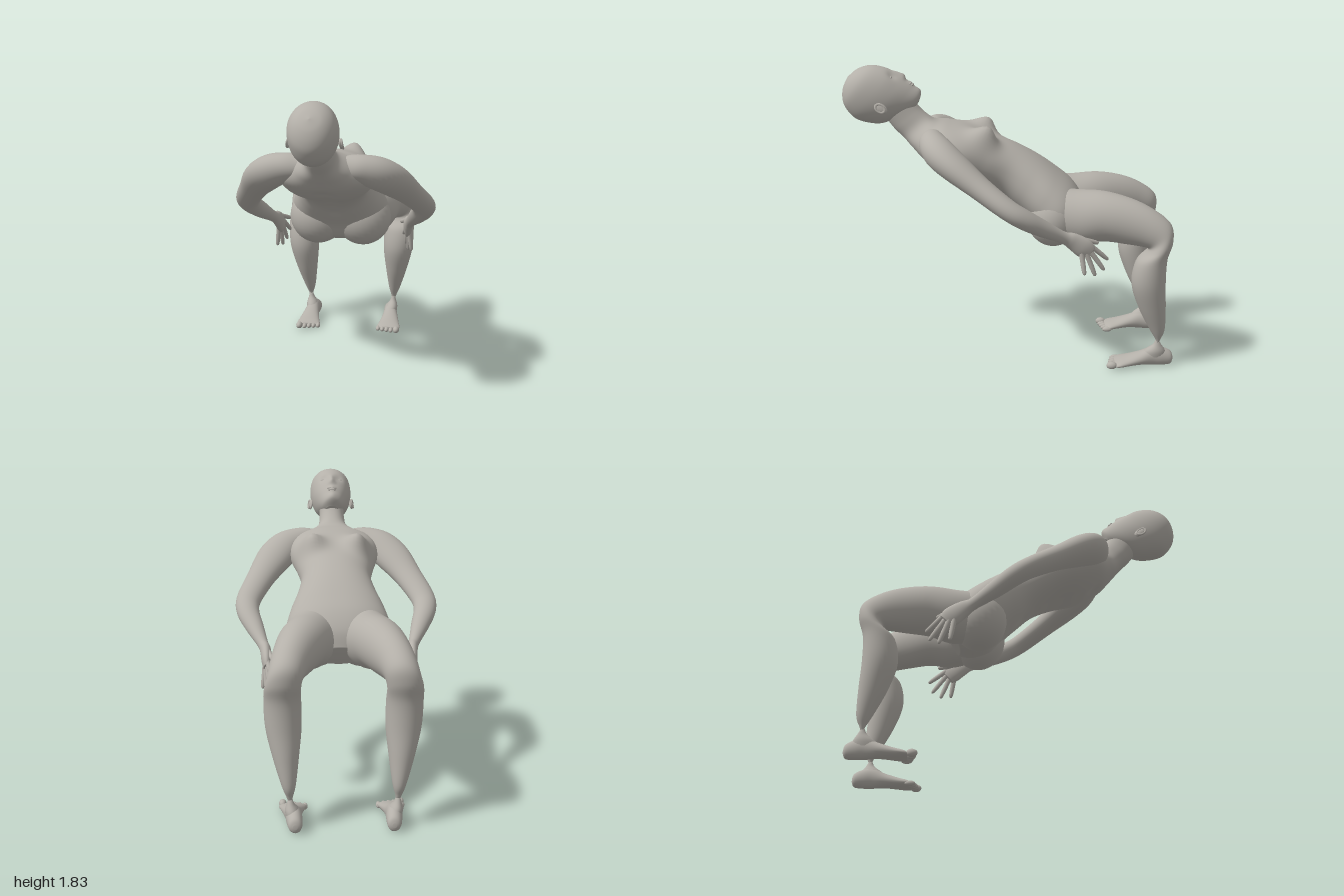
import * as THREE from 'three';

const skin = new THREE.MeshStandardMaterial({ color: 0xb4b0a9 });
skin.name = 'clay skin';
const V = (x, y, z) => new THREE.Vector3(x, y, z);

// Smoothly resample rows of numbers
function resample(rows, sub) {
  const out = [], n = rows.length - 1;
  const row = i => rows[Math.min(n, Math.max(0, i))];
  for (let i = 0; i <= n * sub; i++) {
    const k = Math.min(n - 1, Math.floor(i / sub)), t = i / sub - k;
    const [a, b, c, d] = [row(k - 1), row(k), row(k + 1), row(k + 2)];
    out.push(b.map((_, j) => 0.5 * (2 * b[j] + (c[j] - a[j]) * t
      + (2 * a[j] - 5 * b[j] + 4 * c[j] - d[j]) * t * t
      + (3 * b[j] - a[j] - 3 * c[j] + d[j]) * t * t * t)));
  }
  return out;
}

// Skin closed rings {c, u, v} into a capped surface that always faces outward
function skinRings(rings, seg, power = 1) {
  const pos = [], idx = [], n = rings.length;
  const soft = k => Math.sign(k) * Math.abs(k) ** power;
  for (const { c, u, v } of rings) {
    for (let j = 0; j < seg; j++) {
      const a = j / seg * Math.PI * 2;
      const p = c.clone().addScaledVector(u, soft(Math.cos(a))).addScaledVector(v, soft(Math.sin(a)));
      pos.push(p.x, p.y, p.z);
    }
  }
  pos.push(...rings[0].c.toArray(), ...rings[n - 1].c.toArray());
  for (let j = 0; j < seg; j++) {
    const k = (j + 1) % seg, e = (n - 1) * seg;
    for (let i = 0; i < n - 1; i++) {
      const a = i * seg + j, b = i * seg + k;
      idx.push(a, b, a + seg, b, b + seg, a + seg);
    }
    idx.push(n * seg, k, j, n * seg + 1, e + j, e + k);
  }
  let volume = 0;
  const P = i => V(pos[i * 3], pos[i * 3 + 1], pos[i * 3 + 2]);
  for (let i = 0; i < idx.length; i += 3) volume += P(idx[i]).dot(P(idx[i + 1]).cross(P(idx[i + 2])));
  if (volume < 0) idx.reverse();
  const g = new THREE.BufferGeometry();
  g.setAttribute('position', new THREE.Float32BufferAttribute(pos, 3));
  g.setIndex(idx);
  g.computeVertexNormals();
  return g;
}

// Rows: centre x, half width, front z, front y, back z, back y
function body(rows, side = 1, seg = 32, sub = 5, power = 1) {
  return skinRings(resample(rows, sub).map(([x, w, fz, fy, bz, by]) => ({
    c: V(x * side, (fy + by) / 2, (fz + bz) / 2),
    u: V(0, (fy - by) / 2, (fz - bz) / 2),
    v: V(Math.max(w, 0.001), 0, 0),
  })), seg, power);
}

// Rows: x, y, z, radius in the side plane, radius across
function limb(rows, side = 1, seg = 20, sub = 5) {
  const r = resample(rows, sub), pt = i => V(r[i][0] * side, r[i][1], r[i][2]);
  return skinRings(r.map((row, i) => {
    const t = pt(Math.min(i + 1, r.length - 1)).sub(pt(Math.max(i - 1, 0))).normalize();
    const u = t.clone().cross(V(1, 0, 0)).normalize(), v = u.clone().cross(t);
    return { c: pt(i), u: u.multiplyScalar(row[3]), v: v.multiplyScalar(row[4]) };
  }), seg);
}

// Push the surface near a point
function bump(g, at, push, radius) {
  const p = g.attributes.position;
  for (let i = 0; i < p.count; i++) {
    const q = V().fromBufferAttribute(p, i);
    q.addScaledVector(push, Math.exp(-q.distanceToSquared(at) / radius ** 2));
    p.setXYZ(i, q.x, q.y, q.z);
  }
  g.computeVertexNormals();
}

// Head frame: s runs to the crown, t runs out of the face
const H = (x, s, t) => V(x, 1.665 + 0.62 * s + 0.79 * t, 0.82 + 0.79 * s - 0.62 * t);
const FACE = V(0, 0.79, -0.62);

export function createModel() {
  const model = new THREE.Group();
  const add = (name, geometry) => {
    const m = new THREE.Mesh(geometry, skin);
    m.name = name;
    model.add(m);
    return m;
  };
  const ball = (name, at, sx, sy, sz, tilt = 0) => {
    const m = add(name, new THREE.SphereGeometry(1, 28, 20));
    m.position.copy(at);
    m.scale.set(sx, sy, sz);
    m.rotation.x = tilt;
    return m;
  };

  // Torso and neck
  const torso = body([
    [0, .08, .60, 1.66, .76, 1.54], [0, .082, .545, 1.585, .70, 1.46],
    [0, .098, .49, 1.535, .645, 1.405], [0, .165, .445, 1.51, .59, 1.345],
    [0, .26, .37, 1.50, .51, 1.27], [0, .28, .25, 1.475, .38, 1.195],
    [0, .24, .10, 1.41, .21, 1.14], [0, .215, -.03, 1.36, .08, 1.075],
    [0, .24, -.16, 1.29, -.01, 1.0], [0, .285, -.28, 1.205, -.10, .92],
    [0, .31, -.38, 1.12, -.18, .82], [0, .26, -.445, 1.02, -.28, .785],
    [0, .12, -.465, .92, -.37, .80],
  ], 1, 64, 8, 0.92);
  for (const x of [-.15, .15]) bump(torso, V(x, 1.425, .165), V(0, .075, -.04), .078);
  for (let k = 0; k < 6; k++) bump(torso, V(0, 1.25 - k * .05, .46 - k * .085), V(0, .012, -.008), .05);
  add('torso', torso);

  // Head, with the features pushed out of its surface
  const head = body([
    [-.24, .08, .13, .035], [-.215, .01, .18, .066], [-.15, -.10, .188, .102], [-.08, -.152, .187, .126],
    [0, -.18, .183, .136], [.08, -.165, .153, .13], [.13, -.13, .115, .108], [.165, -.075, .06, .066],
    [.18, -.01, -.005, .003],
  ].map(([s, b, f, w]) => {
    const F = H(0, s, f), B = H(0, s, b);
    return [0, w, F.z, F.y, B.z, B.y];
  }), 1, 96, 9);
  const features = [
    [0, -.025, .008, .018], [0, -.05, .012, .018], [0, -.075, .02, .02], [-.014, -.08, .008, .012], [.014, -.08, .008, .012],
    [0, -.135, .01, .025], [0, -.2, .008, .03], [-.05, -.02, -.012, .032], [.05, -.02, -.012, .032],
  ];
  for (const [x, s, size, r] of features) bump(head, H(x, s, x ? .178 : .19), FACE.clone().multiplyScalar(size), r);
  add('head', head);
  const tilt = Math.atan2(.79, .62);
  ball('upperLip', H(0, -.134, .19), .032, .007, .009, tilt);
  ball('lowerLip', H(0, -.149, .19), .027, .008, .009, tilt);

  for (const side of [-1, 1]) {
    const label = side > 0 ? 'left' : 'right';

    // Eye and ear
    ball(label + 'Eye', H(side * .05, -.021, .152), .021, .009, .01, tilt);
    const ear = ball(label + 'Ear', H(side * .136, -.082, -.01), .012, .04, .026, tilt);
    ear.rotation.y = side * .3;
    const rim = add(label + 'EarRim', new THREE.TorusGeometry(.022, .006, 10, 24));
    rim.position.copy(H(side * .145, -.076, -.014));
    rim.rotation.set(tilt, Math.PI / 2 + side * .3, 0);
    rim.scale.set(1, 1.35, 1);

    // Buttock
    ball(label + 'Buttock', V(side * .145, .94, -.255), .18, .182, .165);

    // Thigh, bent knee and shin in one sweep
    add(label + 'Leg', body([
      [.12, .05, -.14, 1.05, -.13, .95], [.14, .13, -.25, 1.115, -.22, .84], [.18, .16, -.40, 1.115, -.40, .785],
      [.22, .147, -.56, 1.115, -.55, .81], [.263, .124, -.72, 1.08, -.68, .805],
      [.297, .107, -.85, 1.02, -.77, .80], [.318, .098, -.945, .94, -.81, .795],
      [.333, .10, -.957, .84, -.80, .77], [.335, .103, -.928, .73, -.74, .71],
      [.331, .10, -.925, .57, -.72, .57], [.32, .073, -.935, .41, -.77, .41],
      [.306, .04, -.938, .26, -.845, .26], [.301, .018, -.917, .195, -.885, .19],
      [.298, .013, -.908, .17, -.885, .17],
    ], side, 36, 6));

    // Foot with its toes pointing to +z
    add(label + 'Ankle', body([
      [.298, .012, -.908, .18, -.885, .18], [.296, .022, -.925, .15, -.87, .15],
      [.288, .04, -.95, .11, -.82, .11], [.284, .038, -.955, .06, -.79, .06],
    ], side, 24));
    add(label + 'Foot', body([
      [.272, .012, -1, .065, -1, .04], [.272, .036, -.985, .098, -.985, .014],
      [.276, .045, -.93, .125, -.93, .008], [.28, .046, -.87, .13, -.87, .01],
      [.284, .055, -.80, .102, -.80, .016], [.284, .069, -.72, .075, -.72, .012],
      [.283, .08, -.665, .058, -.665, .01], [.282, .07, -.635, .042, -.64, .014],
    ], side, 28));
    for (let k = 0; k < 5; k++) {
      const big = k === 4 ? 1.4 : 1;
      ball(label + 'Toe' + (k + 1), V(side * (.213 + k * .0305 + (k === 4 ? .006 : 0)), .011 + .016 * big, -.648 + k * .008),
        .0155 * big, .0165 * big, .032);
    }

    // Arm from deep inside the shoulder to the palm
    add(label + 'Arm', limb([
      [.06, 1.43, .49, .03, .03], [.14, 1.42, .475, .068, .06], [.22, 1.405, .455, .082, .09], [.31, 1.37, .41, .092, .11],
      [.385, 1.31, .325, .085, .112], [.465, 1.215, .19, .068, .088], [.537, 1.11, .035, .06, .076],
      [.54, 1.05, -.06, .058, .068], [.498, .98, -.17, .05, .054], [.45, .91, -.29, .036, .033],
      [.432, .88, -.35, .05, .032], [.425, .835, -.415, .06, .03], [.422, .80, -.45, .05, .02],
    ], side, 32, 6));

    // Spread fingers and thumb
    const fingers = [
      [.42, .845, -.46, .385, .745, -.568], [.42, .815, -.455, .405, .685, -.545],
      [.43, .80, -.435, .425, .658, -.49], [.435, .80, -.405, .45, .672, -.425],
      [.415, .885, -.40, .372, .845, -.51],
    ];
    fingers.forEach(([x, y, z, X, Y, Z], k) => {
      const at = (t, r) => [x + (X - x) * t, y + (Y - y) * t, z + (Z - z) * t, r, r];
      add(label + (k < 4 ? 'Finger' + (k + 1) : 'Thumb'),
        limb([at(-.15, .017), at(.3, .015), at(.6, .0145), at(.92, .011), at(1, .003)], side, 12, 3));
    });
  }
  return model;
}
